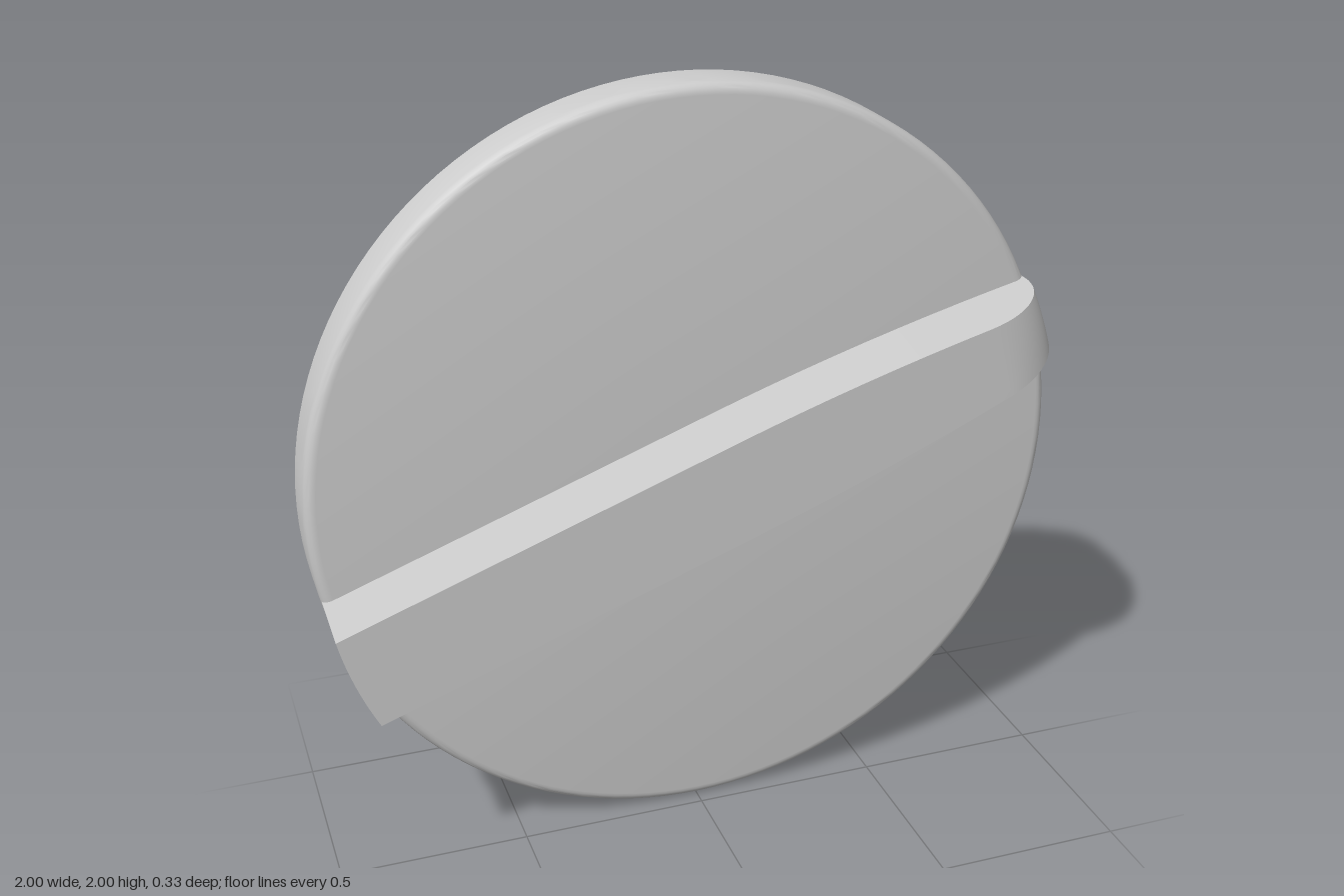
import * as THREE from 'three';
import { toCreasedNormals } from 'three/addons/utils/BufferGeometryUtils.js';

const BACK = -0.165, FACE = -0.03, FRONT = 0.165;
const { lerp } = THREE.MathUtils;

// Round plate with a softened front rim
function discGeometry() {
  const bevel = 0.03;
  const profile = [new THREE.Vector2(0, BACK), new THREE.Vector2(1, BACK)];
  for (let i = 0; i <= 6; i++) {
    const a = (i / 6) * Math.PI / 2;
    profile.push(new THREE.Vector2(1 - bevel + bevel * Math.cos(a), FACE - bevel + bevel * Math.sin(a)));
  }
  profile.push(new THREE.Vector2(0, FACE));
  const geometry = new THREE.LatheGeometry(profile, 128);
  geometry.rotateX(Math.PI / 2);
  return toCreasedNormals(geometry, 0.5);
}

// Grip bar: a box trimmed to the disc's circle, tapering and rounded over at one end
function gripGeometry() {
  const radius = 0.998, round = 0.195, base = -0.07;
  const straight = 20, curved = 14, columns = straight + curved;
  const halfWidth = (u) => 0.133 - 0.063 * Math.max(0, u - 0.1) ** 2;
  const geometry = new THREE.BoxGeometry(1, 1, 1, columns, 10, 1);
  const pos = geometry.attributes.position;
  for (let i = 0; i < pos.count; i++) {
    const column = Math.round((pos.getX(i) + 0.5) * columns);
    const t = pos.getY(i) * 2;
    let u, v, top = FRONT;
    if (column <= straight) {
      const k = column / straight, start = radius - round;
      v = t * halfWidth(lerp(-radius, start, k));
      u = lerp(-Math.sqrt(radius ** 2 - v * v), Math.sqrt(start ** 2 - v * v), k);
    } else {
      const a = ((column - straight) / curved) * Math.PI / 2;
      const r = radius - round + round * Math.sin(a);
      v = t * halfWidth(r);
      u = Math.sqrt(r * r - v * v);
      top = FRONT - round + round * Math.cos(a);
    }
    pos.setXYZ(i, u, v, pos.getZ(i) > 0 ? top : base);
  }
  return toCreasedNormals(geometry, 0.5);
}

export function createModel() {
  const model = new THREE.Group();
  model.name = 'dialKnob';
  const material = new THREE.MeshStandardMaterial({ color: 0xcccccc });

  const disc = new THREE.Mesh(discGeometry(), material);
  disc.name = 'disc';
  disc.position.y = 1;

  const grip = new THREE.Mesh(gripGeometry(), material);
  grip.name = 'gripBar';
  grip.position.y = 1;
  grip.rotation.z = THREE.MathUtils.degToRad(20);

  model.add(disc, grip);
  return model;
}
